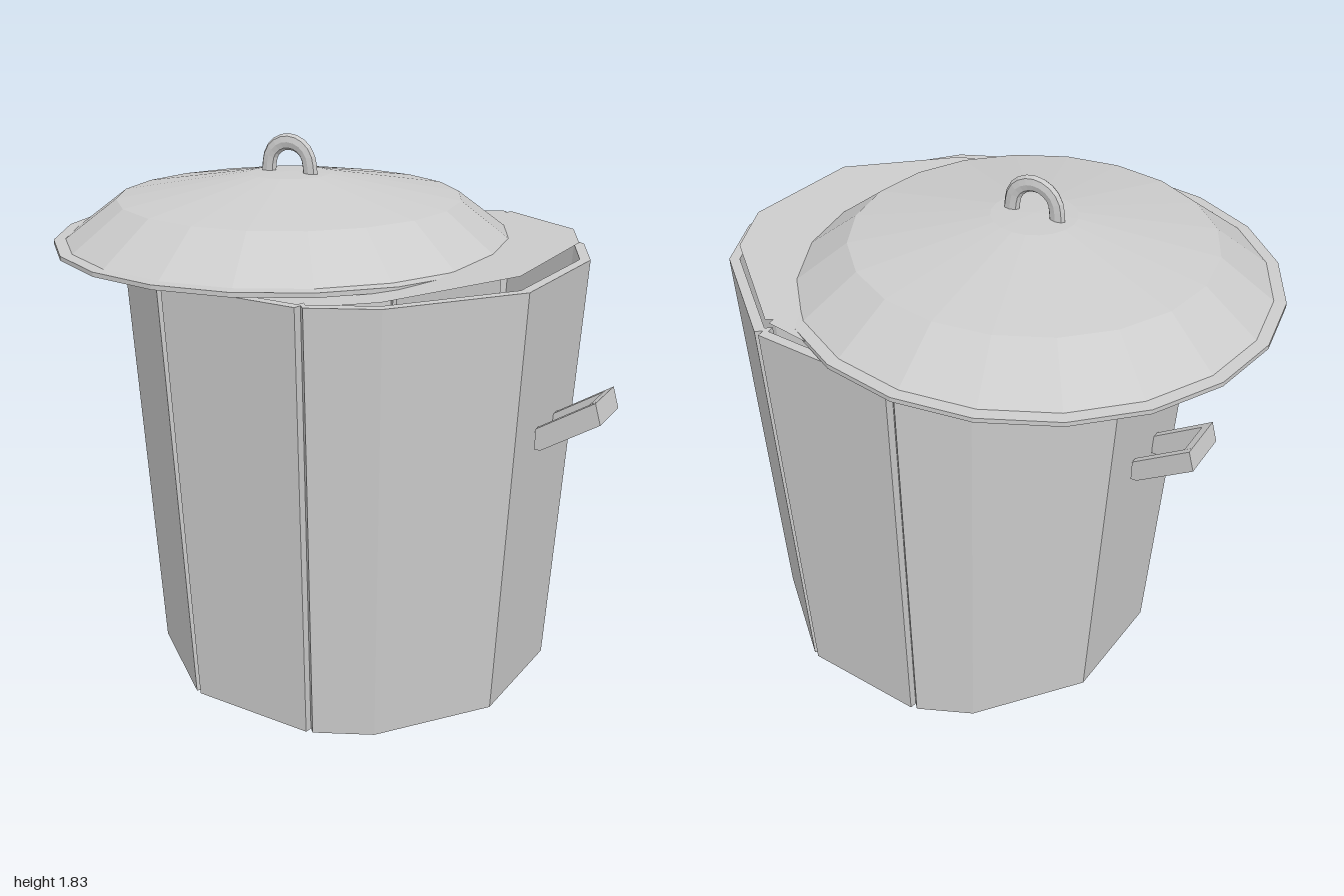
import * as THREE from 'three';

const material = new THREE.MeshStandardMaterial({ color: 0xcccccc, flatShading: true, side: THREE.DoubleSide });
const CAN_X = 0.07, LID_X = -0.19;

function add(parent, name, geometry) {
  const mesh = new THREE.Mesh(geometry, material);
  mesh.name = name;
  parent.add(mesh);
  return mesh;
}

// Outline of the can as [angle, radius factor]: uneven facets, four with a narrow seam groove
function canOutline() {
  const half = [-68, -32.5, -15, 21, 56.5, 74];
  const grooved = [-68, 74];
  const points = [];
  for (const turn of [0, 180]) {
    for (const a of half) {
      if (grooved.includes(a)) points.push([a + turn - 0.9, 1], [a + turn, 0.97], [a + turn + 0.9, 1]);
      else points.push([a + turn, 1]);
    }
  }
  return points.map(([a, f]) => [THREE.MathUtils.degToRad(a), f]);
}

// Joins rings of the outline; each ring is [radius, height or height(x, z)]
function loft(outline, rings) {
  const n = outline.length, positions = [], index = [];
  for (const [r, y] of rings) {
    for (const [a, f] of outline) {
      const x = r * f * Math.cos(a), z = r * f * Math.sin(a);
      positions.push(x, typeof y === 'function' ? y(x, z) : y, z);
    }
  }
  for (let k = 0; k < rings.length - 1; k++) {
    for (let i = 0; i < n; i++) {
      const j = (i + 1) % n, a = k * n + i, b = k * n + j;
      index.push(a, a + n, b, b, a + n, b + n);
    }
  }
  const geometry = new THREE.BufferGeometry();
  geometry.setAttribute('position', new THREE.Float32BufferAttribute(positions, 3));
  geometry.setIndex(index);
  const flat = geometry.toNonIndexed();
  flat.computeVertexNormals();
  return flat;
}

// U-shaped carrying handle made of slanted strips, reaching out along +x
function sideHandle() {
  const group = new THREE.Group();
  const arm = new THREE.Shape([
    new THREE.Vector2(0.72, 0.91), new THREE.Vector2(0.74, 0.91), new THREE.Vector2(0.93, 1.03),
    new THREE.Vector2(0.91, 1.10), new THREE.Vector2(0.72, 0.98),
  ]);
  const end = new THREE.Shape([
    new THREE.Vector2(0.905, 1.015), new THREE.Vector2(0.93, 1.03),
    new THREE.Vector2(0.91, 1.10), new THREE.Vector2(0.885, 1.085),
  ]);
  const strip = (name, shape, z, depth) => {
    const geometry = new THREE.ExtrudeGeometry(shape, { depth, bevelEnabled: false });
    add(group, name, geometry).position.z = z;
  };
  strip('handleArm', arm, -0.052, 0.024);
  strip('handleArm', arm, 0.108, 0.024);
  strip('handleBar', end, -0.03, 0.14);
  return group;
}

export function createModel() {
  const model = new THREE.Group();
  model.name = 'lidded bin';

  // Can: floor, tapered outer wall, rim and inner wall
  const can = new THREE.Group();
  can.name = 'can';
  can.position.x = CAN_X;
  model.add(can);
  const outline = canOutline();
  add(can, 'canWall', loft(outline, [[0, 0], [0.7, 0], [0.785, 1.465], [0.75, 1.465], [0.67, 0.03], [0, 0.03]]));

  // Tilted sheet resting in the mouth of the can
  const tilt = (x, z) => 1.453 + 0.09 * (x * 0.966 - z * 0.259);
  add(can, 'innerCover', loft(outline, [[0.745, tilt], [0, tilt]]));

  // Handles on opposite sides
  for (const turn of [0, Math.PI]) {
    const handle = sideHandle();
    handle.name = turn ? 'rightHandle' : 'leftHandle';
    handle.rotation.y = turn;
    can.add(handle);
  }

  // Lid slid to one side, with a flat lip and a low cone
  const lid = new THREE.Group();
  lid.name = 'lid';
  lid.position.x = LID_X;
  model.add(lid);
  const profile = [[0, 1.47], [0.81, 1.47], [0.81, 1.485], [0.77, 1.487], [0.593, 1.62], [0.14, 1.698], [0, 1.703]]
    .map(([x, y]) => new THREE.Vector2(x, y));
  add(lid, 'lidShell', new THREE.LatheGeometry(profile, 20));

  // Arched grip, flattened front to back
  const path = [new THREE.Vector3(-0.083, 1.68, 0)];
  for (let i = 0; i <= 6; i++) {
    const a = Math.PI * (1 - i / 6);
    path.push(new THREE.Vector3(0.08 * Math.cos(a), 1.725 + 0.077 * Math.sin(a), 0));
  }
  path.push(new THREE.Vector3(0.083, 1.68, 0));
  const grip = new THREE.TubeGeometry(new THREE.CatmullRomCurve3(path), 14, 0.028, 8);
  grip.scale(1, 1, 0.6);
  add(lid, 'lidGrip', grip);

  return model;
}
